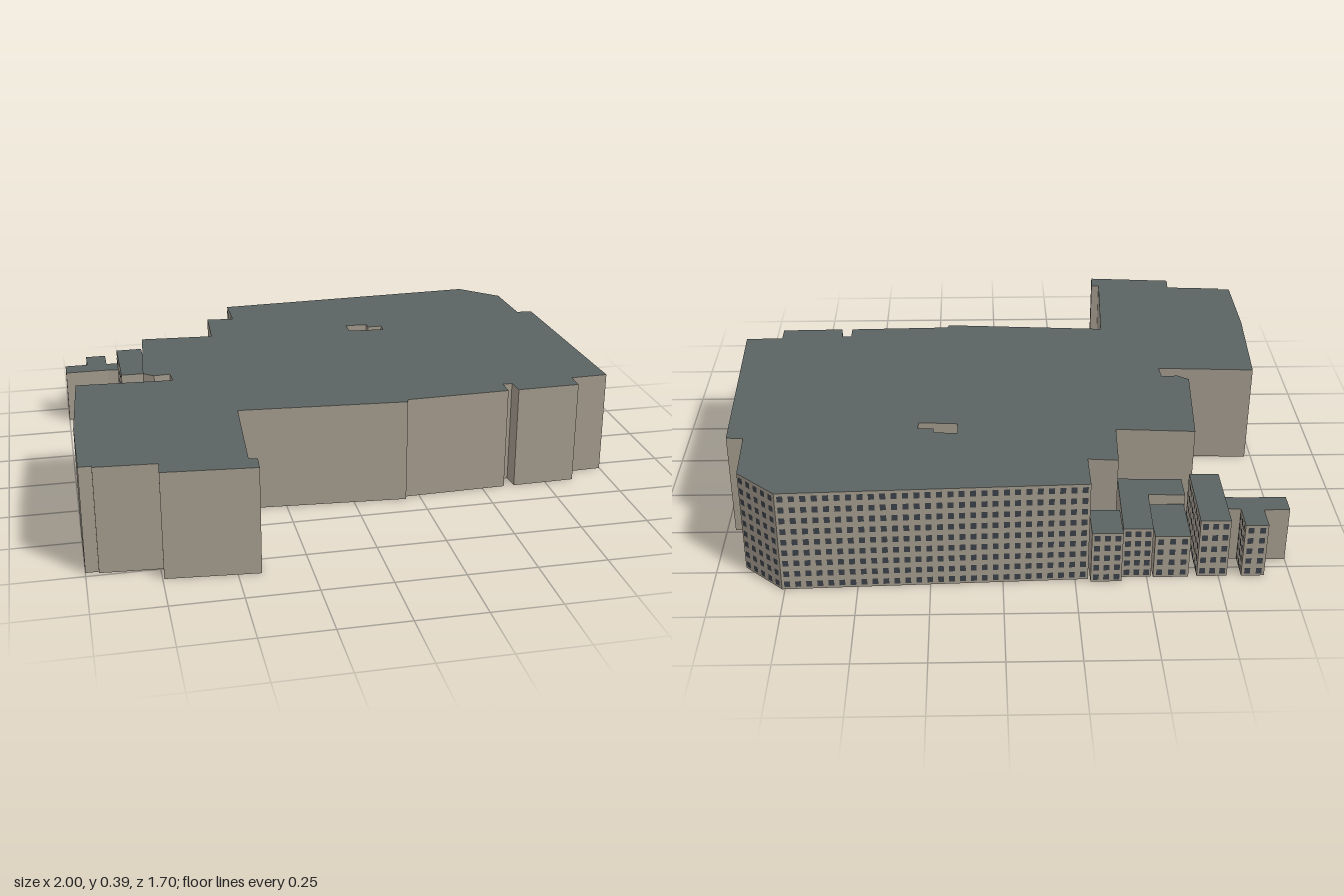
import * as THREE from 'three';
import { mergeGeometries } from 'three/addons/utils/BufferGeometryUtils.js';

const wallMat = new THREE.MeshStandardMaterial({ color: 0xa59c8e, side: THREE.DoubleSide });
wallMat.name = 'stone wall';
const roofMat = new THREE.MeshStandardMaterial({ color: 0x5b6363, side: THREE.DoubleSide });
roofMat.name = 'slate roof';
const windowMat = new THREE.MeshStandardMaterial({ color: 0x3a4148 });
windowMat.name = 'dark window';

// Edges of a footprint, as pairs of [x, z] corners (clockwise from above)
const edgesOf = (pts) => pts.map((p, i) => [p, pts[(i + 1) % pts.length]]);

// Rectangular footprint
const rect = (x0, x1, z0, z1) => [[x0, z0], [x1, z0], [x1, z1], [x0, z1]];

// One wall: a plane moved out from its edge, facing outward
function onWall([[ax, az], [bx, bz]], t, y, w, h, offset) {
  const dx = bx - ax, dz = bz - az, len = Math.hypot(dx, dz);
  return new THREE.PlaneGeometry(w, h)
    .rotateY(Math.atan2(dz, -dx))
    .translate(ax + dx * t + dz / len * offset, y, az + dz * t - dx / len * offset);
}

const lengthOf = ([a, b]) => Math.hypot(b[0] - a[0], b[1] - a[1]);

// Ring of flat walls standing on the ground, open below
function wallGeometry(loops, h) {
  return mergeGeometries(loops.flatMap(edgesOf)
    .map((edge) => onWall(edge, 0.5, h / 2, lengthOf(edge), h, 0)));
}

// Flat roof, with any courtyards cut out
function roofGeometry(outline, holes, h) {
  const toPoints = (pts) => pts.map(([x, z]) => new THREE.Vector2(x, -z));
  const shape = new THREE.Shape(toPoints(outline));
  shape.holes = holes.map((hole) => new THREE.Path(toPoints(hole)));
  return new THREE.ShapeGeometry(shape).rotateX(-Math.PI / 2).translate(0, h, 0);
}

// Regular grid of thin window panes over one wall
function windowGrid(edge, h) {
  const cols = Math.round(lengthOf(edge) / 0.038);
  const rows = Math.round(h / 0.043);
  const panes = [];
  for (let c = 0; c < cols; c++) {
    for (let r = 0; r < rows; r++) {
      panes.push(onWall(edge, (c + 0.5) / cols, h * (r + 0.5) / rows, 0.02, 0.023, 0.002));
    }
  }
  return panes;
}

// A block with walls, roof and windows on the chosen edges
function building(name, height, outline, windowed, holes = []) {
  const group = new THREE.Group();
  group.name = name;
  const add = (part, geometry, material) => {
    const mesh = new THREE.Mesh(geometry, material);
    mesh.name = part;
    group.add(mesh);
  };
  const edges = edgesOf(outline);
  const panes = windowed.flatMap((i) => windowGrid(edges.at(i), height));
  add('walls', wallGeometry([outline, ...holes], height), wallMat);
  add('roof', roofGeometry(outline, holes, height), roofMat);
  add('windows', mergeGeometries(panes), windowMat);
  return group;
}

function mainBlock() {
  const back = [[-0.295, -0.81], [0.76, -0.85], [0.9, -0.72], [0.91, -0.49], [0.97, -0.485]];
  const front = [
    [1, 0.29], [0.86, 0.295], [0.86, 0.365], [0.625, 0.37], [0.62, 0.305],
    [0.585, 0.305], [0.585, 0.37], [0.2, 0.38], [0.195, 0.4], [-0.42, 0.355],
  ];
  const wing = [
    [-0.445, 0.77], [-0.415, 0.775], [-0.42, 0.848], [-0.745, 0.82], [-0.74, 0.75],
    [-0.955, 0.735], [-0.955, 0.725], [-1, 0.725], [-1, 0.4], [-0.975, -0.01],
  ];
  const steppedSide = [
    [-0.615, 0.01], [-0.62, -0.055], [-0.68, -0.05], [-0.72, -0.08],
    [-0.69, -0.47], [-0.41, -0.45], [-0.4, -0.66], [-0.295, -0.65],
  ];
  // Courtyard runs the other way round, so its walls face inward
  const courtyard = [
    [0.155, -0.4], [0.295, -0.39], [0.295, -0.43], [0.24, -0.43], [0.24, -0.46], [0.155, -0.465],
  ];
  const outline = [...back, ...front, ...wing, ...steppedSide];
  return building('mainBlock', 0.39, outline, [0, 1, -1], [courtyard]);
}

function cornerHouse() {
  const outline = [
    [-0.91, -0.8], [-0.83, -0.8], [-0.83, -0.7], [-0.785, -0.695], [-0.785, -0.62],
    [-0.83, -0.625], [-1, -0.625], [-1, -0.705], [-0.91, -0.705],
  ];
  return building('cornerHouse', 0.21, outline, [0, 1, -1]);
}

function angledHouse() {
  const outline = [
    [-0.515, -0.8], [-0.412, -0.8], [-0.42, -0.478],
    [-0.65, -0.485], [-0.65, -0.59], [-0.52, -0.585],
  ];
  return building('angledHouse', 0.2, outline, [0, -1]);
}

export function createModel() {
  const model = new THREE.Group();
  model.name = 'cityBlock';
  model.add(
    mainBlock(),
    cornerHouse(),
    angledHouse(),
    building('longHouse', 0.23, rect(-0.78, -0.675, -0.8, -0.5), [0, 1, -1]),
    building('lowHouse', 0.17, rect(-0.645, -0.522, -0.803, -0.603), [0, -1]),
    building('smallHouse', 0.2, rect(-0.41, -0.303, -0.825, -0.68), [0, -1]),
  );
  return model;
}
